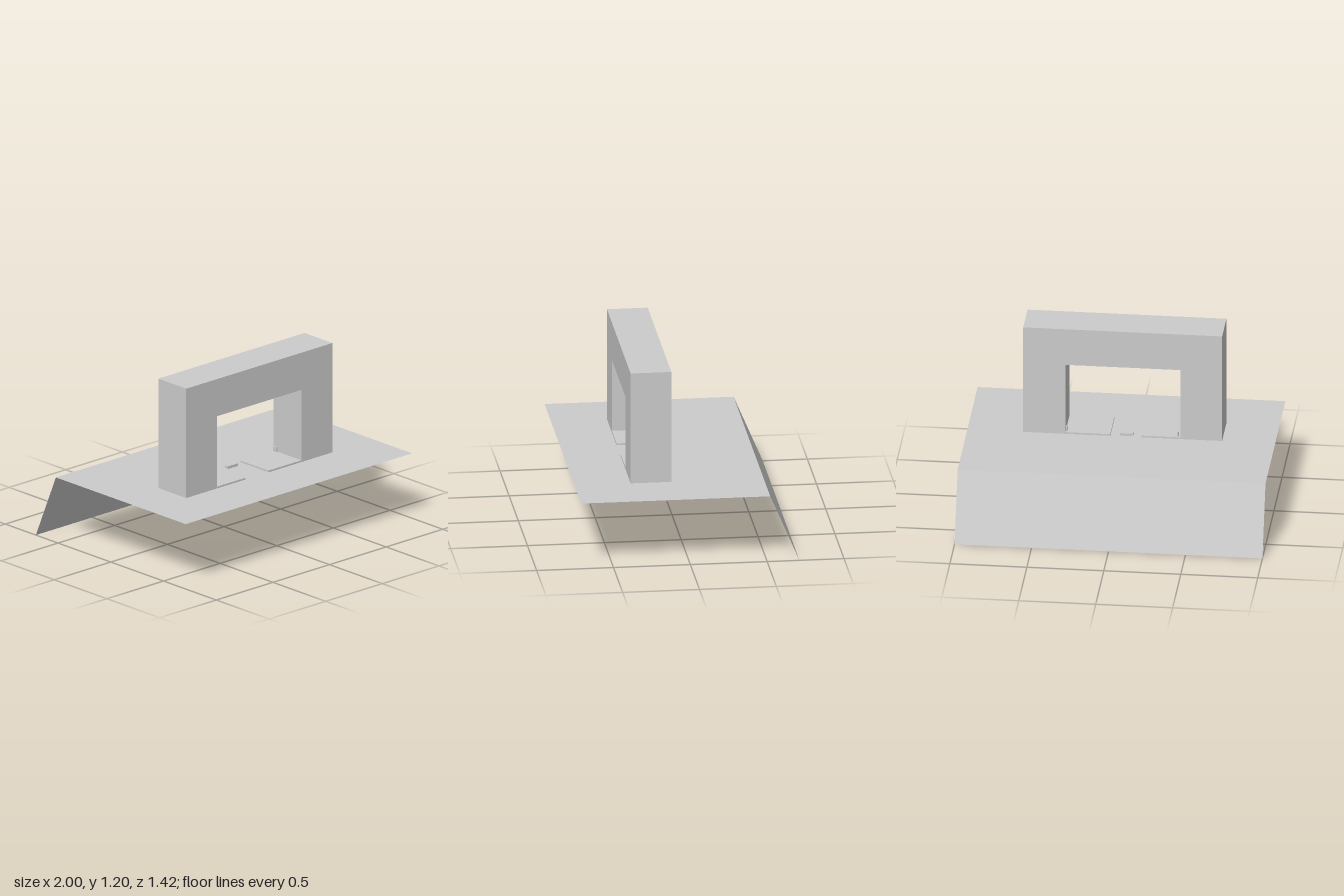
import * as THREE from 'three';

const GROUND = 0.445;   // height of the platform
const BACK = 0.08, FRONT = 0.345;   // depth range of the arch

export function createModel() {
  const model = new THREE.Group();
  const material = new THREE.MeshStandardMaterial({ color: 0xcccccc, flatShading: true });
  const sheetMaterial = material.clone();
  sheetMaterial.side = THREE.DoubleSide;

  function add(name, geometry, mat = material) {
    const mesh = new THREE.Mesh(geometry, mat);
    mesh.name = name;
    model.add(mesh);
    return mesh;
  }

  // Box given by its extents on each axis
  function addBox(name, [x0, x1], [y0, y1], [z0, z1]) {
    add(name, new THREE.BoxGeometry(x1 - x0, y1 - y0, z1 - z0))
      .position.set((x0 + x1) / 2, (y0 + y1) / 2, (z0 + z1) / 2);
  }

  // Open sheet across the full width between two (y, z) edges
  function addSheet(name, [yBack, zBack], [yFront, zFront]) {
    const geometry = new THREE.PlaneGeometry(2, 1);
    const p = geometry.attributes.position;
    for (let i = 0; i < p.count; i++) {
      const back = p.getY(i) > 0;
      p.setXYZ(i, p.getX(i), back ? yBack : yFront, back ? zBack : zFront);
    }
    geometry.computeVertexNormals();
    add(name, geometry, sheetMaterial);
  }

  // Ground sheet and the bank falling away behind it
  addSheet('ground', [GROUND, -0.52], [GROUND, 0.71]);
  addSheet('rearSlope', [0, -0.71], [GROUND, -0.52]);

  // Gateway: two pillars and a lintel in one outline
  const outline = [
    [-0.655, GROUND], [-0.385, GROUND], [-0.385, 0.94], [0.363, 0.94],
    [0.363, GROUND], [0.637, GROUND], [0.637, 1.195], [-0.655, 1.195],
  ];
  const shape = new THREE.Shape(outline.map(([x, y]) => new THREE.Vector2(x, y)));
  const arch = new THREE.ExtrudeGeometry(shape, { depth: FRONT - BACK, bevelEnabled: false });
  arch.translate(0, 0, BACK);
  add('gateway', arch);

  // Low floor slabs on both sides of the passage
  addBox('rightFloorSlab', [-0.385, -0.13], [GROUND, 0.457], [BACK, FRONT]);
  addBox('leftFloorSlab', [0.072, 0.363], [GROUND, 0.457], [BACK, FRONT]);

  // Gate stop in the middle and small posts by the pillars
  addBox('gateStop', [-0.075, 0.011], [GROUND, 0.463], [0.09, 0.12]);
  addBox('rightPost', [-0.372, -0.362], [0.457, 0.49], [0.09, 0.12]);
  addBox('leftPost', [0.351, 0.361], [0.457, 0.49], [0.09, 0.12]);

  return model;
}
